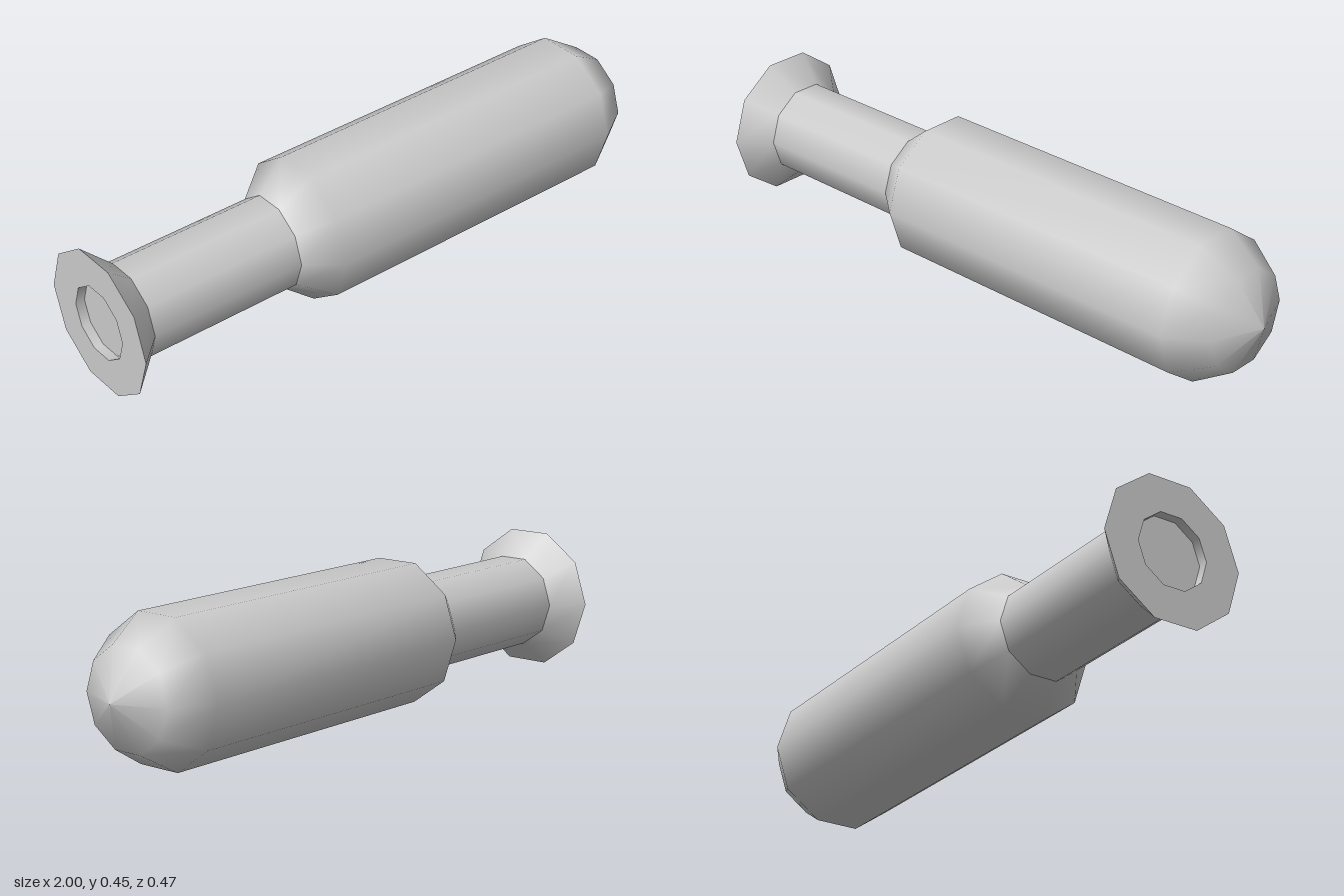
import * as THREE from 'three';

const SIDES = 10;
const R = 0.237;     // body and flange radius
const NECK = 0.153;  // neck radius
const HOLE = 0.12;   // socket radius

const material = new THREE.MeshStandardMaterial({ color: 0xcccccc });

// Ten-sided surface of revolution along x; profile is [x, radius] pairs, tail to nose.
// Smooth inside one profile, sharp where two profiles meet.
function turned(name, profile) {
  const points = profile.map(([x, r]) => new THREE.Vector2(r, x));
  const geometry = new THREE.LatheGeometry(points, SIDES);
  geometry.rotateZ(-Math.PI / 2);
  const mesh = new THREE.Mesh(geometry, material);
  mesh.name = name;
  return mesh;
}

export function createModel() {
  const model = new THREE.Group();
  model.name = 'capsuleWithFlangedTail';

  // Flared tail with a shallow socket in its flat end
  const tail = new THREE.Group();
  tail.name = 'tailFlange';
  tail.add(
    turned('socketFloor', [[-0.97, 0], [-0.97, HOLE]]),
    turned('socketWall', [[-0.97, HOLE], [-1, HOLE]]),
    turned('endFace', [[-1, HOLE], [-1, R]]),
    turned('flare', [[-1, R], [-0.91, NECK]])
  );

  // Straight neck, then the body with its shoulder and rounded nose
  const neck = turned('neck', [[-0.91, NECK], [-0.38, NECK]]);
  const body = turned('body', [
    [-0.38, NECK], [-0.275, R], [0.81, R], [0.935, 0.16], [1, 0],
  ]);

  model.add(tail, neck, body);
  model.position.y = R * Math.cos(Math.PI / SIDES); // rests on a flat side
  return model;
}
